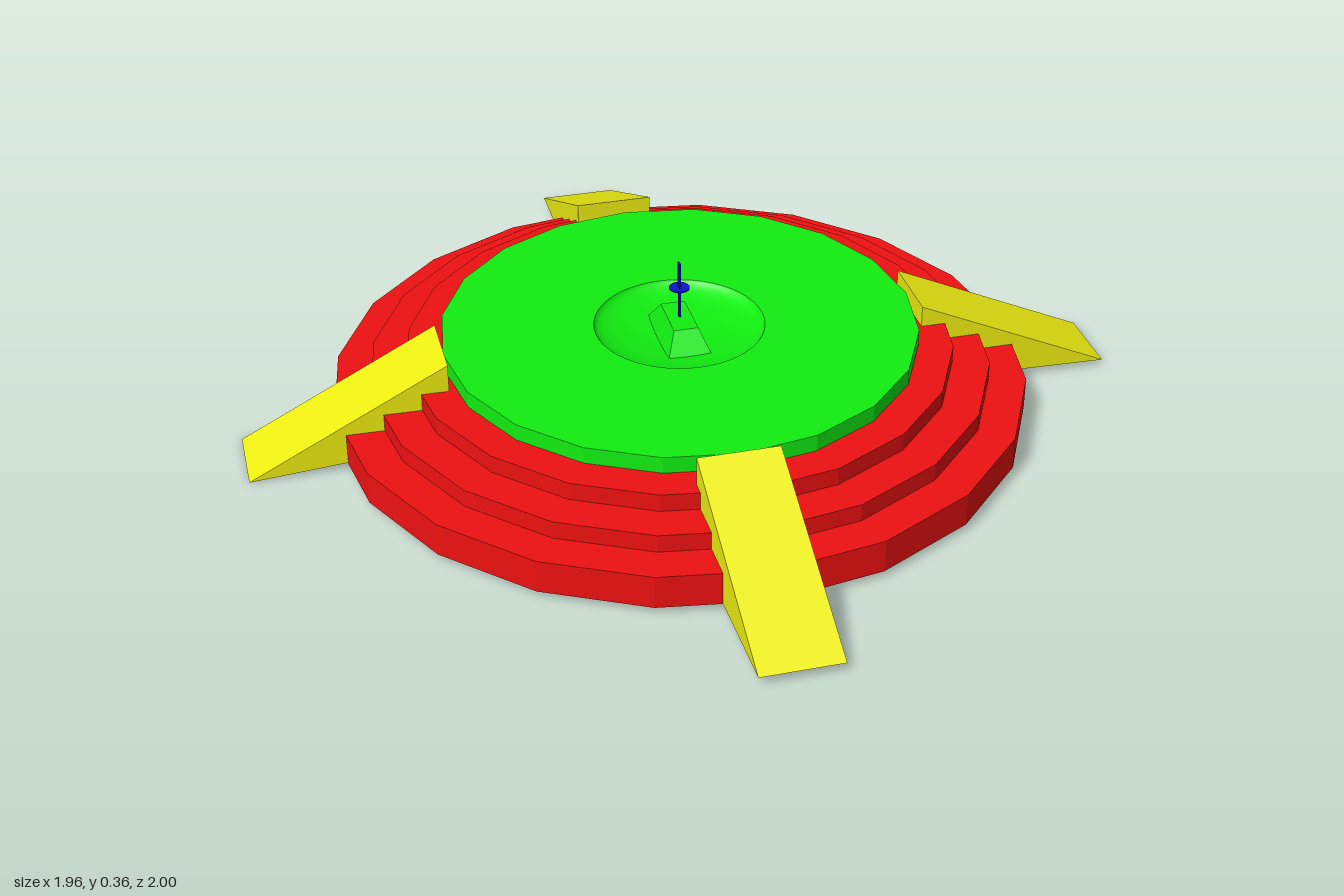
import * as THREE from 'three';

const mat = (color, flatShading = true) =>
  new THREE.MeshStandardMaterial({ color, flatShading, side: THREE.DoubleSide });
const red = mat(0xee1111), green = mat(0x11ee11), yellow = mat(0xeeee11), blue = mat(0x1111cc);
const smoothGreen = mat(0x11ee11, false);

const CX = -0.007; // the round body sits slightly off the ramps' centre

function add(parent, name, geometry, material, x = 0, y = 0, z = 0) {
  const mesh = new THREE.Mesh(geometry, material);
  mesh.name = name;
  mesh.position.set(x, y, z);
  parent.add(mesh);
  return mesh;
}

// Wedge running outward along +z: a tall inner end tapering to a thin outer edge
function wedge({ inner, outer, across, skew = 0, top, bottom, tip }) {
  const [l, r] = across, [bl, br] = bottom;
  const g = new THREE.BufferGeometry();
  g.setAttribute('position', new THREE.Float32BufferAttribute([
    l, bl, inner, r, br, inner,
    l, top, inner, r, top, inner,
    l + skew, tip, outer, r + skew, tip, outer,
  ], 3));
  g.setIndex([4, 5, 3, 4, 3, 2, 1, 0, 2, 1, 2, 3, 0, 4, 2, 5, 1, 3, 0, 1, 5, 0, 5, 4]);
  const flat = g.toNonIndexed();
  flat.computeVertexNormals();
  return flat;
}

// Four-sided block with a smaller top face
function frustum(w, h, d, topW, topD) {
  const g = new THREE.BoxGeometry(w, h, d);
  const p = g.attributes.position;
  for (let i = 0; i < p.count; i++) {
    if (p.getY(i) > 0) p.setXYZ(i, p.getX(i) * topW / w, p.getY(i), p.getZ(i) * topD / d);
  }
  g.computeVertexNormals();
  return g;
}

export function createModel() {
  const model = new THREE.Group();

  // Stepped base
  const base = new THREE.Group();
  base.name = 'steppedBase';
  model.add(base);
  [[0.773, 0.015, 0.09], [0.69, 0.09, 0.13], [0.607, 0.13, 0.17]].forEach(([r, y0, y1], i) =>
    add(base, `tier${i + 1}`, new THREE.CylinderGeometry(r, r, y1 - y0, 20), red, CX, (y0 + y1) / 2));

  // Top platform with a round opening
  const deck = new THREE.Shape();
  for (let i = 0; i < 20; i++) {
    const a = i * Math.PI / 10, x = 0.53 * Math.cos(a), y = 0.53 * Math.sin(a);
    i ? deck.lineTo(x, y) : deck.moveTo(x, y);
  }
  deck.closePath();
  const bowlR = 0.19, bowlDepth = 0.035, deckTop = 0.208;
  const hole = new THREE.Path();
  hole.absarc(0, 0, bowlR, 0, Math.PI * 2, true);
  deck.holes.push(hole);
  const deckGeo = new THREE.ExtrudeGeometry(deck, { depth: 0.038, bevelEnabled: false, curveSegments: 24 });
  deckGeo.rotateX(-Math.PI / 2);
  add(model, 'platform', deckGeo, green, CX, 0.17);

  // Shallow bowl, steep at the rim and flat in the middle
  const profile = [];
  for (let i = 0; i <= 10; i++) {
    const a = i / 10 * Math.PI / 2;
    profile.push(new THREE.Vector2(bowlR * Math.cos(a), -bowlDepth * Math.sin(a)));
  }
  add(model, 'bowl', new THREE.LatheGeometry(profile, 48), smoothGreen, CX, deckTop);

  // Pedestal and antenna
  add(model, 'pedestal', frustum(0.1, 0.053, 0.2, 0.055, 0.12), green, CX, 0.1995);
  add(model, 'antennaMast', new THREE.BoxGeometry(0.004, 0.14, 0.013), blue, CX, 0.29);
  add(model, 'antennaDisc', new THREE.CylinderGeometry(0.023, 0.023, 0.003, 16), blue, CX, 0.298);

  // Four ramps, in quarter turns from the front
  const ramps = [
    { name: 'frontRamp', inner: 0.56, outer: 1, across: [-0.115, 0.062], skew: 0.006, top: 0.235, bottom: [0.012, 0.017], tip: 0.022 },
    { name: 'leftRamp', inner: 0.53, outer: 0.98, across: [-0.09, 0.08], skew: -0.003, top: 0.22, bottom: [0.025, 0.025], tip: 0.014 },
    { name: 'backRamp', inner: 0.56, outer: 1, across: [-0.062, 0.115], top: 0.225, bottom: [0.02, 0.02], tip: 0.019 },
    { name: 'rightRamp', inner: 0.54, outer: 0.98, across: [-0.08, 0.092], skew: -0.012, top: 0.235, bottom: [0.04, 0.04], tip: 0 },
  ];
  ramps.forEach((spec, i) => {
    add(model, spec.name, wedge(spec), yellow).rotation.y = i * Math.PI / 2;
  });

  return model;
}
